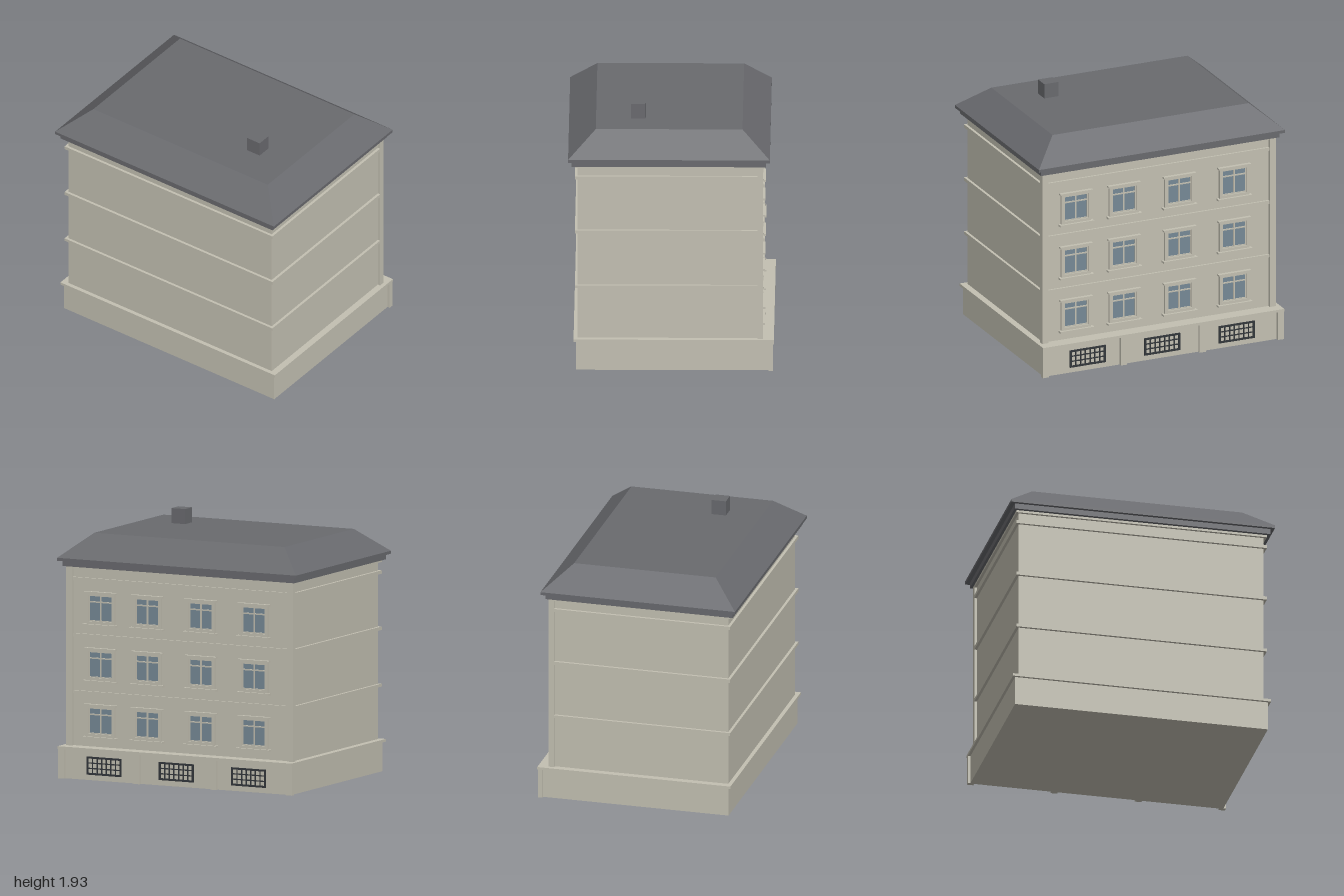
import * as THREE from 'three';

const mat = (name, color) => Object.assign(new THREE.MeshStandardMaterial({ color }), { name });

export function createModel() {
  const stone = mat('stone', 0xc3c0b2);
  const slate = mat('roof slate', 0x696a6e);
  const glass = mat('window glass', 0x768996);
  const iron = mat('grille iron', 0x33373b);
  const model = new THREE.Group();
  model.name = 'building';

  // Box given by its minimum and maximum on every axis
  function box(parent, name, material, x0, x1, y0, y1, z0, z1) {
    const mesh = new THREE.Mesh(new THREE.BoxGeometry(x1 - x0, y1 - y0, z1 - z0), material);
    mesh.position.set((x0 + x1) / 2, (y0 + y1) / 2, (z0 + z1) / 2);
    mesh.name = name;
    parent.add(mesh);
    return mesh;
  }

  // Rectangular frame centred on the origin, sticking out towards -z
  function frame(parent, name, material, w, h, border, depth) {
    const rect = (Type, a, b) => new Type([
      new THREE.Vector2(-a, -b), new THREE.Vector2(a, -b),
      new THREE.Vector2(a, b), new THREE.Vector2(-a, b)]);
    const shape = rect(THREE.Shape, w / 2, h / 2);
    shape.holes.push(rect(THREE.Path, w / 2 - border, h / 2 - border));
    const mesh = new THREE.Mesh(
      new THREE.ExtrudeGeometry(shape, { depth, bevelEnabled: false }), material);
    mesh.position.z = -depth;
    mesh.name = name;
    parent.add(mesh);
  }

  // Plinth, its ledge and the piers along the back
  box(model, 'plinth', stone, -0.96, 0.96, 0, 0.225, -0.73, 0.70);
  box(model, 'plinthLedge', stone, -0.98, 0.98, 0.22, 0.24, -0.76, 0.72);
  for (const x of [-0.955, -0.32, 0.32, 0.955]) {
    box(model, 'plinthPier', stone, x - 0.025, x + 0.025, 0, 0.22, -0.755, -0.72);
  }

  // Upper walls and corner pilasters
  const wallBack = -0.655;
  box(model, 'walls', stone, -0.93, 0.93, 0.23, 1.59, wallBack, 0.69);
  for (const s of [-1, 1]) {
    const x = s * 0.925;
    box(model, 'cornerPilaster', stone, x - 0.025, x + 0.025, 0.24, 1.58, -0.68, -0.64);
  }

  // String courses round the walls
  for (const [y0, y1] of [[0.63, 0.652], [1.052, 1.078], [1.472, 1.497], [1.56, 1.578]]) {
    box(model, 'stringCourse', stone, -0.95, 0.95, y0, y1, -0.645, 0.71);
    box(model, 'backStringCourse', stone, -0.9, 0.9, y0, y1, -0.67, -0.64);
  }

  // Windows: surround, panes, glazing bars, sill and cornice
  function makeWindow(x, y) {
    const g = new THREE.Group();
    g.name = 'window';
    g.position.set(x, y, wallBack);
    frame(g, 'windowSurround', stone, 0.24, 0.24, 0.022, 0.02);
    box(g, 'windowPane', glass, -0.1, 0.1, -0.1, 0.1, -0.004, 0.002);
    frame(g, 'windowSash', stone, 0.2, 0.2, 0.01, 0.011);
    box(g, 'mullion', stone, -0.006, 0.006, -0.1, 0.1, -0.011, 0);
    box(g, 'transom', stone, -0.1, 0.1, 0.042, 0.052, -0.011, 0);
    box(g, 'windowSill', stone, -0.138, 0.138, -0.132, -0.118, -0.038, 0);
    box(g, 'windowCornice', stone, -0.132, 0.132, 0.112, 0.124, -0.028, 0);
    model.add(g);
  }
  for (const y of [0.434, 0.854, 1.274]) {
    for (const x of [0.67, 0.28, -0.17, -0.615]) makeWindow(x, y);
  }

  // Basement grilles
  for (const x of [-0.605, 0, 0.605]) {
    const g = new THREE.Group();
    g.name = 'basementGrille';
    g.position.set(x, 0.108, -0.73);
    frame(g, 'grilleFrame', iron, 0.29, 0.135, 0.014, 0.009);
    for (let i = 1; i < 7; i++) {
      const bx = -0.135 + (i * 0.27) / 7;
      box(g, 'grilleBar', iron, bx - 0.004, bx + 0.004, -0.06, 0.06, -0.007, 0);
    }
    for (const by of [-0.02, 0.02]) {
      box(g, 'grilleCrossbar', iron, -0.14, 0.14, by - 0.004, by + 0.004, -0.007, 0);
    }
    model.add(g);
  }

  // Stepped eaves
  box(model, 'lowerEaves', slate, -0.97, 0.97, 1.577, 1.62, -0.70, 0.735);
  box(model, 'upperEaves', slate, -1, 1, 1.618, 1.64, -0.73, 0.76);

  // Hipped roof with a flat top: a box whose top corners are drawn in
  const roof = box(model, 'roof', slate, -1, 1, 1.64, 1.815, -0.73, 0.76);
  const p = roof.geometry.attributes.position;
  for (let i = 0; i < p.count; i++) {
    if (p.getY(i) > 0) {
      p.setX(i, Math.sign(p.getX(i)) * 0.797);
      p.setZ(i, Math.sign(p.getZ(i)) * 0.542);
    }
  }
  roof.geometry.computeVertexNormals();

  box(model, 'chimney', slate, 0.42, 0.535, 1.8, 1.927, 0.19, 0.30);
  return model;
}
